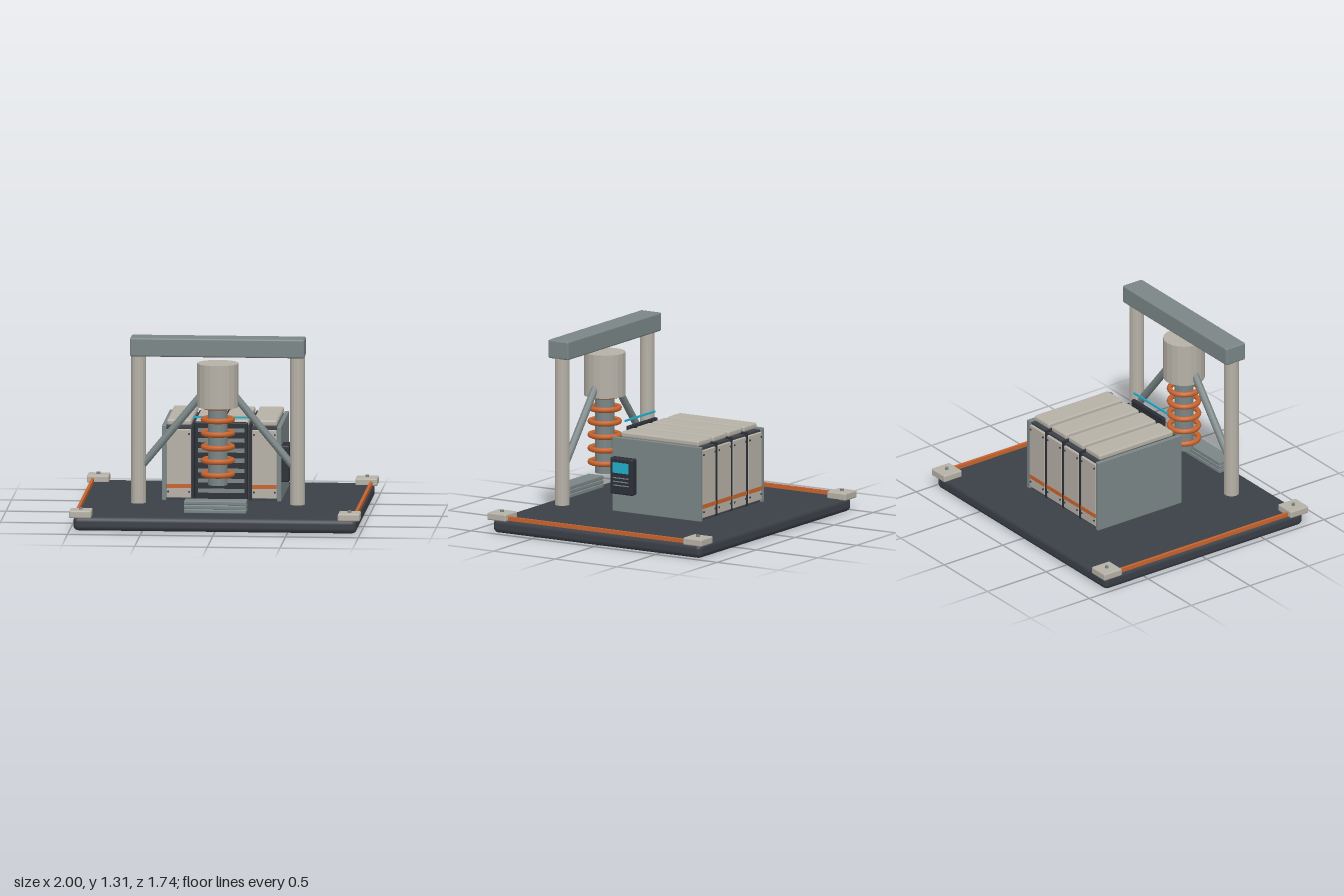
import * as THREE from 'three';
import { RoundedBoxGeometry } from 'three/addons/geometries/RoundedBoxGeometry.js';

const paint = (name, color) => {
  const m = new THREE.MeshStandardMaterial({ color });
  m.name = name;
  return m;
};

export function createModel() {
  const model = new THREE.Group();
  model.name = 'processingStation';
  const charcoal = paint('charcoal', 0x3b4047);
  const black = paint('nearBlack', 0x2b2f36);
  const steel = paint('steelGrey', 0x7b8687);
  const cream = paint('warmGrey', 0xb6b1a7);
  const copper = paint('copperOrange', 0xc8642e);
  const cyan = paint('cyanGlow', 0x22b0cc);

  const add = (parent, name, geometry, material, x, y, z) => {
    const mesh = new THREE.Mesh(geometry, material);
    mesh.name = name;
    mesh.position.set(x, y, z);
    parent.add(mesh);
    return mesh;
  };
  const box = (p, name, m, w, h, d, x, y, z) =>
    add(p, name, new THREE.BoxGeometry(w, h, d), m, x, y, z);
  const soft = (p, name, m, w, h, d, x, y, z, r = 0.01) =>
    add(p, name, new RoundedBoxGeometry(w, h, d, 2, r), m, x, y, z);
  const rod = (p, name, m, r, h, x, y, z, sides = 16) => {
    const g = new THREE.CylinderGeometry(r, r, h, sides).toNonIndexed();
    g.computeVertexNormals();
    return add(p, name, g, m, x, y, z);
  };
  const group = (name) => {
    const g = new THREE.Group();
    g.name = name;
    model.add(g);
    return g;
  };

  // Platform with corner blocks, bolts and side strips
  const platform = group('platform');
  soft(platform, 'basePlate', charcoal, 1.95, 0.098, 1.69, 0, 0.049, 0, 0.035);
  for (const sx of [-1, 1]) {
    box(platform, 'sideStrip', copper, 0.02, 0.028, 1.5, sx * 0.958, 0.11, 0);
    for (const sz of [-1, 1]) {
      soft(platform, 'cornerBlock', cream, 0.152, 0.052, 0.152, sx * 0.924, 0.117, sz * 0.795);
      rod(platform, 'cornerBolt', steel, 0.013, 0.02, sx * 0.924, 0.148, sz * 0.795, 8);
    }
  }

  // Cabinet core and side walls
  const cabinet = group('cabinet');
  box(cabinet, 'core', charcoal, 0.78, 0.505, 0.68, 0, 0.3775, -0.133);
  for (const sx of [-1, 1])
    soft(cabinet, 'sideWall', steel, 0.03, 0.52, 0.715, sx * 0.396, 0.383, -0.133, 0.005);

  // Panels over the top, back and front, with copper stripes and screws
  const uprightPanel = (x, side) => {
    const z = side > 0 ? 0.211 : -0.477;
    soft(cabinet, 'uprightPanel', cream, 0.17, 0.475, 0.024, x, 0.379, z, 0.006);
    box(cabinet, 'panelStripe', copper, 0.168, 0.028, 0.008, x, 0.224, z + side * 0.012);
    for (const dx of [-0.072, 0.072])
      for (const y of [0.585, 0.185]) {
        const s = rod(cabinet, 'panelScrew', charcoal, 0.007, 0.012, x + dx, y, z + side * 0.012, 8);
        s.rotation.x = Math.PI / 2;
      }
  };
  [-0.295, -0.098, 0.098, 0.295].forEach((x, i) => {
    soft(cabinet, 'topPanel', cream, 0.17, 0.042, 0.63, x, 0.658, -0.138, 0.014);
    uprightPanel(x, -1);
    if (i === 0 || i === 3) uprightPanel(x, 1);
  });
  for (const x of [-0.196, 0, 0.196])
    box(cabinet, 'seamRib', black, 0.016, 0.515, 0.71, x, 0.386, -0.133);

  // Louvred vent and light bar on the front
  const vent = group('vent');
  soft(vent, 'ventFrame', black, 0.365, 0.54, 0.03, 0, 0.404, 0.244, 0.008);
  for (let i = 0; i < 7; i++)
    box(vent, 'louvre', steel, 0.32, 0.028, 0.012, 0, 0.2 + i * 0.07, 0.26);
  box(vent, 'lightBar', cyan, 0.385, 0.014, 0.009, 0, 0.71, 0.261);

  // Control box on the left wall
  const control = group('controlBox');
  soft(control, 'controlHousing', black, 0.062, 0.255, 0.185, 0.437, 0.383, 0.118, 0.012);
  box(control, 'screen', cyan, 0.008, 0.072, 0.125, 0.471, 0.443, 0.118);
  for (let i = 0; i < 3; i++)
    box(control, 'controlSlot', steel, 0.006, 0.007, 0.125, 0.469, 0.372 - i * 0.026, 0.118);

  // Gantry frame: beam, legs and diagonal braces
  const gantry = group('gantry');
  const gz = 0.546;
  soft(gantry, 'beam', steel, 1.2, 0.13, 0.165, 0, 1.246, gz, 0.012);
  for (const sx of [-1, 1]) {
    rod(gantry, 'leg', cream, 0.051, 1.04, sx * 0.547, 0.676, gz);
    const a = new THREE.Vector3(sx * 0.1, 0.925, gz);
    const b = new THREE.Vector3(sx * 0.53, 0.405, gz);
    const mid = a.clone().add(b).multiplyScalar(0.5);
    const brace = rod(gantry, 'brace', steel, 0.026, a.distanceTo(b), mid.x, mid.y, mid.z, 12);
    brace.quaternion.setFromUnitVectors(new THREE.Vector3(0, 1, 0), a.clone().sub(b).normalize());
  }

  // Press head with shaft and copper rings
  const press = group('press');
  rod(press, 'head', cream, 0.143, 0.302, 0, 0.98, gz, 20);
  rod(press, 'shaft', steel, 0.067, 0.56, 0, 0.567, gz, 16);
  for (let i = 0; i < 6; i++) {
    const ring = add(press, 'coilRing', new THREE.TorusGeometry(0.1, 0.019, 8, 32), copper, 0, 0.362 + i * 0.0945, gz);
    ring.rotation.x = Math.PI / 2;
  }

  // Stacked slabs in front
  const step = group('step');
  for (let i = 0; i < 3; i++)
    soft(step, 'slab', steel, 0.428, 0.026, 0.122, 0, 0.14 + i * 0.029, 0.749, 0.005);

  return model;
}
